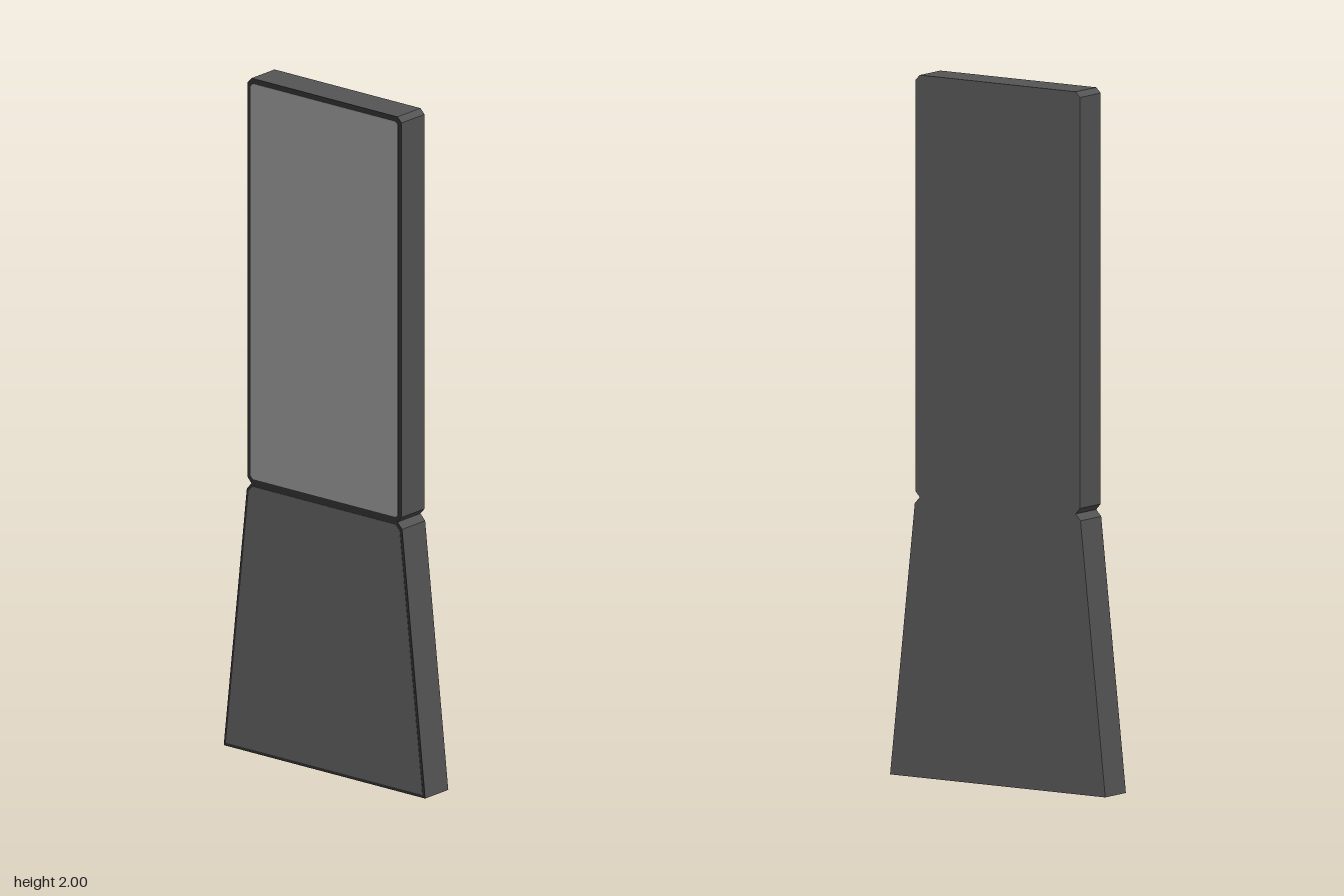
import * as THREE from 'three';

// Shape from the +x half of an outline (listed bottom to top), mirrored to -x
function mirroredShape(half) {
  const left = half.map(([x, y]) => [-x, y]).reverse();
  return new THREE.Shape([...half, ...left].map(([x, y]) => new THREE.Vector2(x, y)));
}

function slab(name, half, z, depth, color) {
  const geometry = new THREE.ExtrudeGeometry(mirroredShape(half), { depth, bevelEnabled: false });
  geometry.translate(0, 0, z);
  const mesh = new THREE.Mesh(geometry, new THREE.MeshStandardMaterial({ color, flatShading: true }));
  mesh.name = name;
  return mesh;
}

export function createModel() {
  const group = new THREE.Group();
  group.name = 'panelStand';

  // Flared base, notched waist and upright slab in one outline
  const outline = [
    [0.37, 0], [0.285, 0.78], [0.268, 0.798],
    [0.283, 0.815], [0.283, 1.985], [0.268, 2],
  ];
  group.add(slab('body', outline, -0.051, 0.1, 0x555555));

  // Dark trim covering the front, seen around the two panels
  group.add(slab('frontTrim', outline, 0.049, 0.001, 0x2a2a2a));

  // Light upper panel with clipped corners
  group.add(slab('upperPanel', [
    [0.262, 0.812], [0.27, 0.82], [0.27, 1.977], [0.262, 1.985],
  ], 0.05, 0.001, 0x888888));

  // Tapered lower panel
  group.add(slab('lowerPanel', [
    [0.361, 0.009], [0.277, 0.776], [0.262, 0.79],
  ], 0.05, 0.001, 0x555555));

  return group;
}
